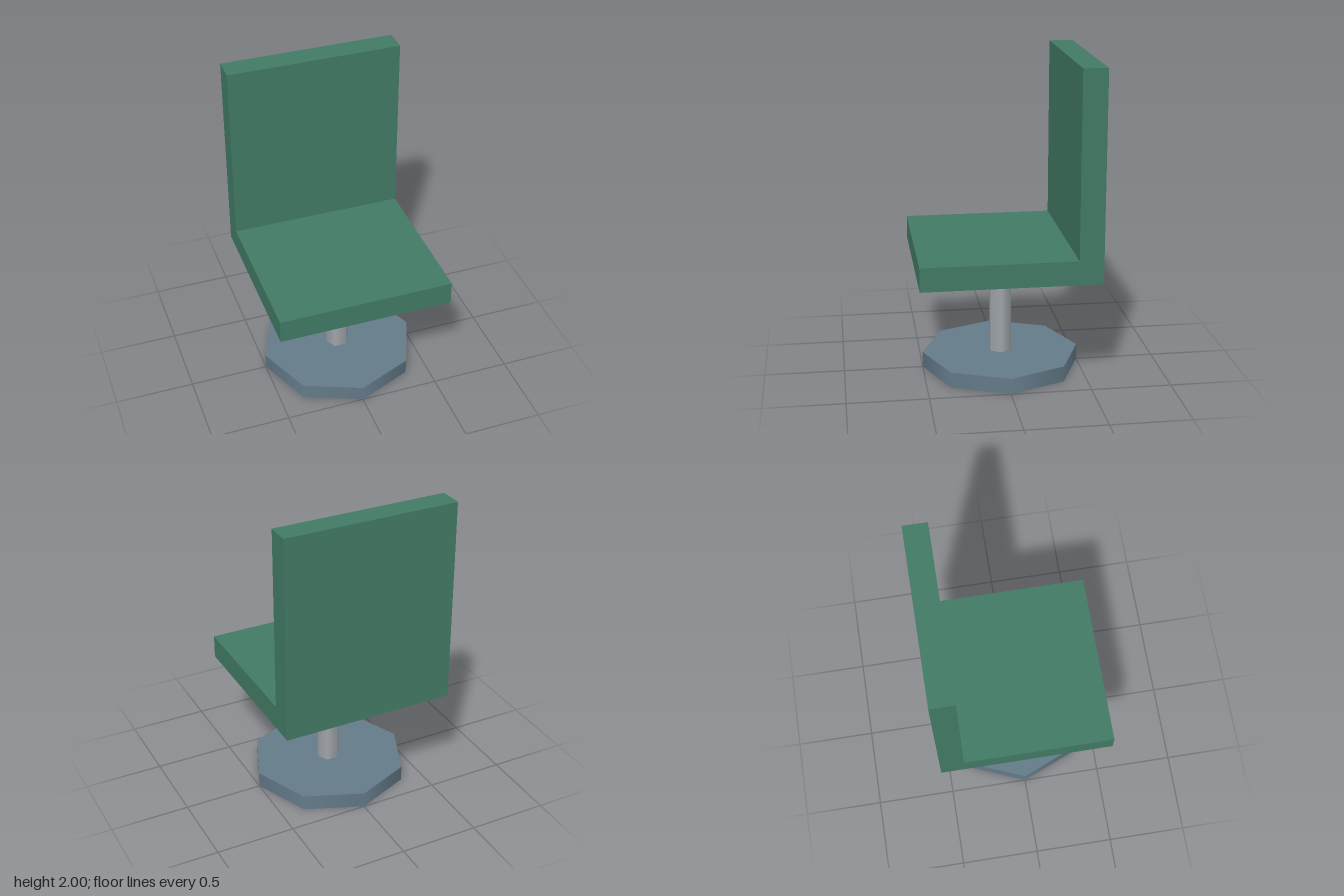
import * as THREE from 'three';

export function createModel() {
  const group = new THREE.Group();
  const green = new THREE.MeshStandardMaterial({ color: 0x427a65 });
  green.name = 'green upholstery';
  const steel = new THREE.MeshStandardMaterial({ color: 0xa0a5aa });
  steel.name = 'light grey metal';
  const slate = new THREE.MeshStandardMaterial({ color: 0x647b89 });
  slate.name = 'slate blue metal';

  const add = (name, geometry, material) => {
    const mesh = new THREE.Mesh(geometry, material);
    mesh.name = name;
    group.add(mesh);
    return mesh;
  };

  // Eight-sided foot disc
  add('base', new THREE.CylinderGeometry(0.5, 0.5, 0.1, 8), slate).position.y = 0.05;

  // Six-sided post, corners pointing to the sides
  const post = add('post', new THREE.CylinderGeometry(0.075, 0.075, 0.6, 6), steel);
  post.position.y = 0.4;
  post.rotation.y = Math.PI / 6;

  // Seat and backrest as one L-shaped profile (drawn as -z, y) extruded across the width
  const profile = new THREE.Shape([
    [-0.55, 0.7], [0.55, 0.7], [0.55, 2], [0.4, 2], [0.4, 0.85], [-0.55, 0.85],
  ].map(([x, y]) => new THREE.Vector2(x, y)));
  const seat = new THREE.ExtrudeGeometry(profile, { depth: 1.1, bevelEnabled: false });
  seat.translate(0, 0, -0.55).rotateY(Math.PI / 2);
  add('seatAndBackrest', seat, green);

  return group;
}
